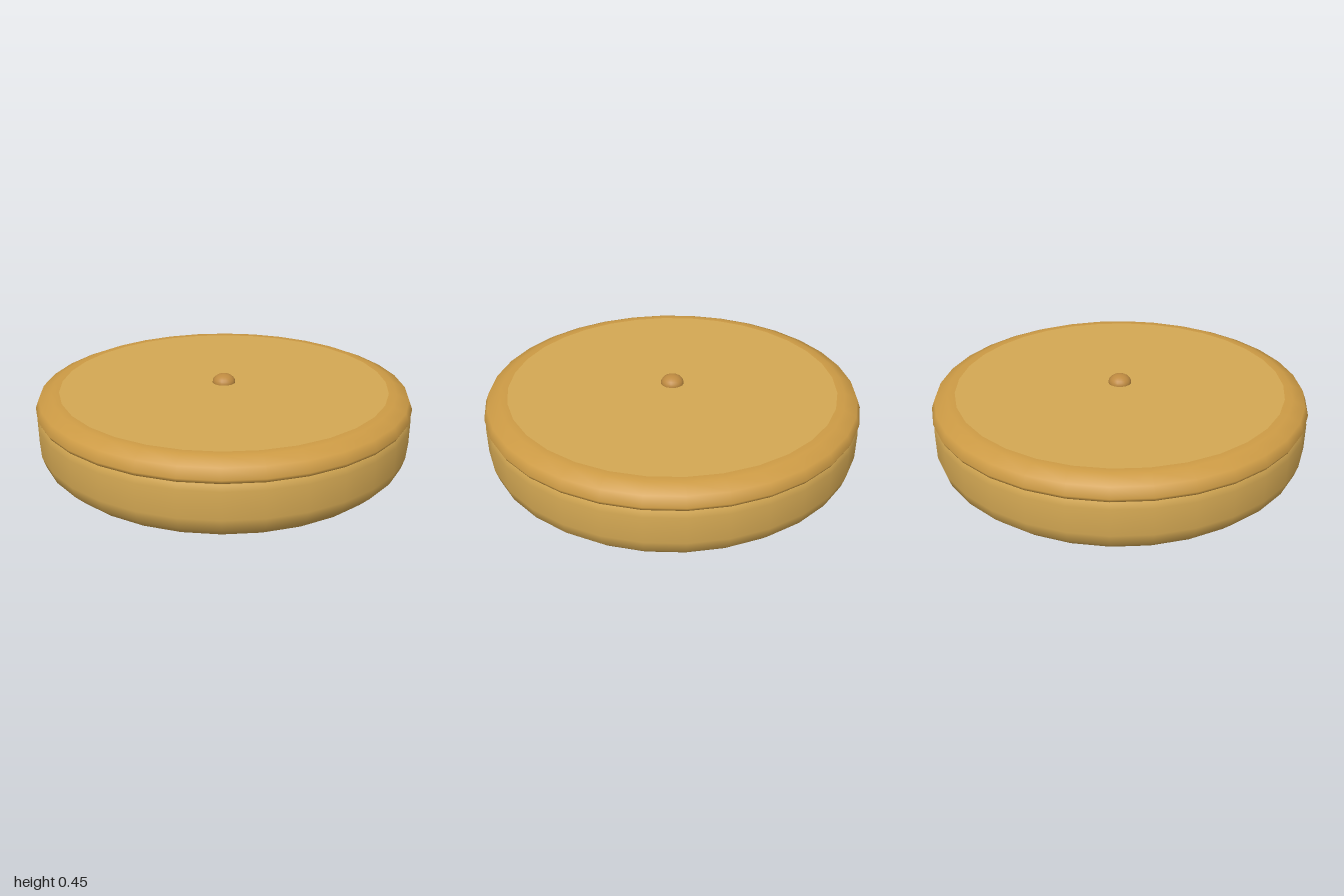
import * as THREE from 'three';

const SIDES = 32;

// Turns a profile of [radius, height] points, listed bottom to top.
function turned(name, profile, color) {
  const points = profile.map(([r, y]) => new THREE.Vector2(r, y));
  const material = new THREE.MeshStandardMaterial({ color, side: THREE.DoubleSide });
  const mesh = new THREE.Mesh(new THREE.LatheGeometry(points, SIDES), material);
  mesh.name = name;
  return mesh;
}

export function createModel() {
  const group = new THREE.Group();
  group.name = 'roundTin';

  // Shallow body with a rounded bottom edge
  group.add(turned('body', [
    [0, 0], [0.86, 0], [0.93, 0.02], [0.98, 0.07], [0.998, 0.13],
    [0.998, 0.27], [0.985, 0.3],
  ], 0xd4a853));

  // Rounded lid rim
  group.add(turned('lidRim', [
    [0.975, 0.297], [0.99, 0.305], [1, 0.325], [0.98, 0.375], [0.915, 0.402], [0.875, 0.402],
  ], 0xcd9b45));

  // Flat lid panel
  group.add(turned('lidPanel', [[0.875, 0.402], [0, 0.402]], 0xd4a853));

  // Small domed knob
  const knob = new THREE.Mesh(
    new THREE.SphereGeometry(0.062, 16, 8, 0, Math.PI * 2, 0, Math.PI / 2),
    new THREE.MeshStandardMaterial({ color: 0xbe8a40, side: THREE.DoubleSide })
  );
  knob.name = 'knob';
  knob.scale.y = 0.75;
  knob.position.y = 0.402;
  group.add(knob);

  return group;
}
